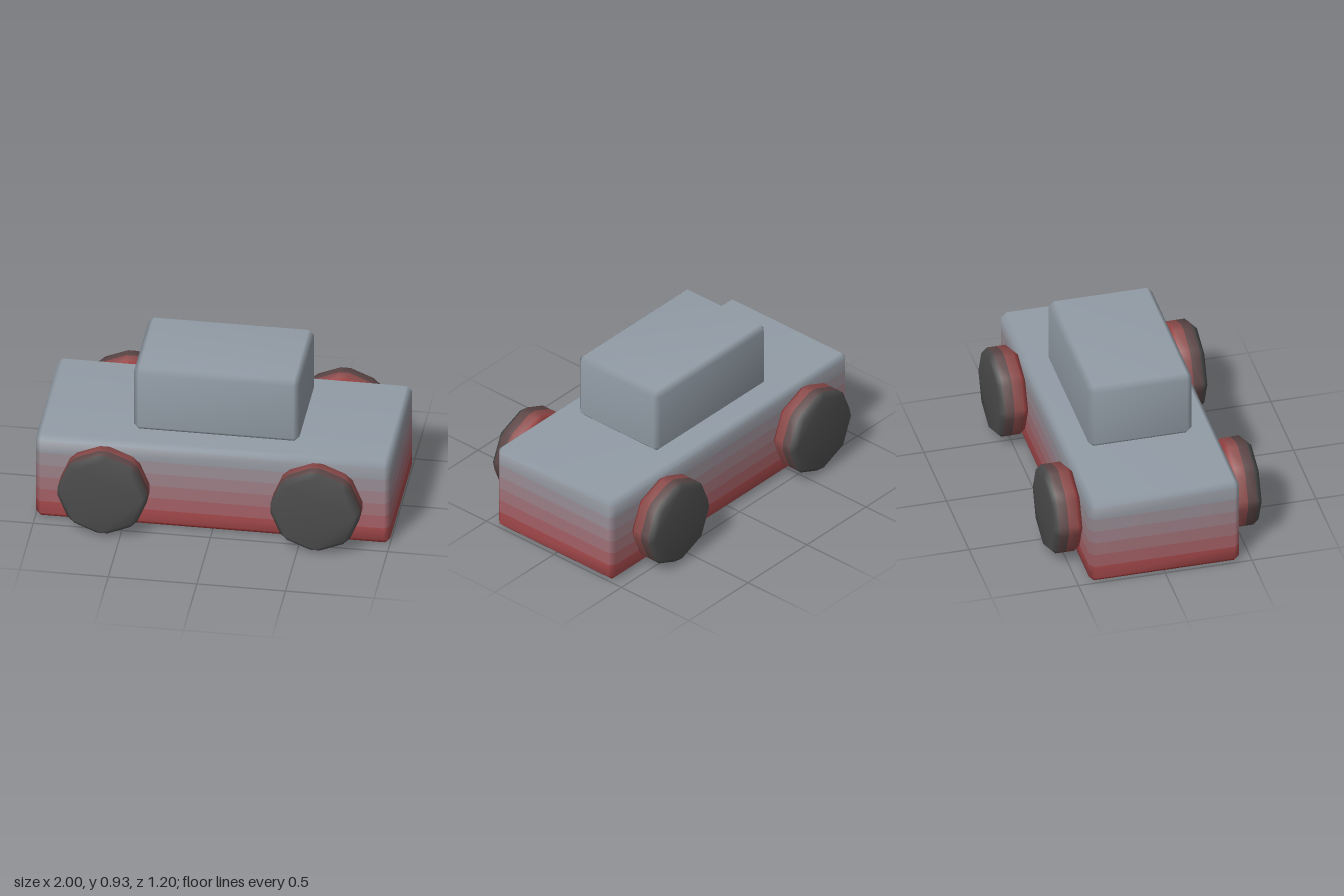
import * as THREE from 'three';
import { mergeVertices } from 'three/addons/utils/BufferGeometryUtils.js';

const BEVEL = 0.03;

// Prism standing on y = 0 over a convex outline, every edge bevelled.
// colors: [underside, side bands from low to high..., top side]
function bevelledPrism(name, outline, height, colors) {
  const n = outline.length, m = n * 2, capRing = [], sideRing = [];
  outline.forEach((p, i) => {
    const toPrev = outline[(i + n - 1) % n].clone().sub(p).normalize();
    const toNext = outline[(i + 1) % n].clone().sub(p).normalize();
    const inset = BEVEL / Math.abs(toPrev.cross(toNext));
    const cap = p.clone().addScaledVector(toPrev, inset).addScaledVector(toNext, inset);
    capRing.push(cap, cap);
    sideRing.push(p.clone().addScaledVector(toPrev, BEVEL), p.clone().addScaledVector(toNext, BEVEL));
  });

  // stacked cross-sections: cap, side levels, cap
  const bands = colors.length - 2;
  const rings = [[capRing, 0]];
  for (let k = 0; k <= bands; k++) rings.push([sideRing, BEVEL + (height - 2 * BEVEL) * k / bands]);
  rings.push([capRing, height]);
  const positions = rings.flatMap(([ring, y]) => ring.flatMap(p => [p.x, y, p.y]));

  // triangles, gathered by colour
  const index = [], tones = [];
  const tri = (color, ...abc) => { index.push(...abc); tones.push(color); };
  const colorOf = r => colors[Math.min(r, colors.length - 1)];
  const last = (rings.length - 1) * m;
  for (let i = 2; i < m - 2; i += 2) {
    tri(colors[0], 0, i, i + 2);
    tri(colors.at(-1), last, last + i + 2, last + i);
  }
  for (let r = 0; r < rings.length - 1; r++) {
    for (let i = 0; i < m; i++) {
      const j = (i + 1) % m, a = r * m + i, b = r * m + j;
      if (r > 0 || i % 2) tri(colorOf(r), a, a + m, b);
      else tri(colorOf(r), a, a + m, b + m);
      if (r > 0 && (r < rings.length - 2 || i % 2) || r === 0 && i % 2) tri(colorOf(r), b, a + m, b + m);
    }
  }

  let geometry = new THREE.BufferGeometry();
  geometry.setAttribute('position', new THREE.Float32BufferAttribute(positions, 3));
  geometry.setIndex(index);
  geometry = mergeVertices(geometry);
  geometry.computeVertexNormals();

  // one mesh per colour, sharing the smooth normals
  const group = new THREE.Group();
  group.name = name;
  const merged = geometry.index.array;
  [...new Set(colors)].forEach((color, k) => {
    const part = new THREE.BufferGeometry();
    part.setAttribute('position', geometry.attributes.position);
    part.setAttribute('normal', geometry.attributes.normal);
    part.setIndex(tones.flatMap((t, i) => t === color ? [...merged.slice(i * 3, i * 3 + 3)] : []));
    const mesh = new THREE.Mesh(part, new THREE.MeshStandardMaterial({ color }));
    mesh.name = `${name}Band${k + 1}`;
    group.add(mesh);
  });
  return group;
}

const rectangle = (hx, hz) =>
  [[1, 1], [-1, 1], [-1, -1], [1, -1]].map(([x, z]) => new THREE.Vector2(x * hx, z * hz));

const polygon = (sides, radius) => Array.from({ length: sides }, (_, i) => {
  const a = i / sides * Math.PI * 2;
  return new THREE.Vector2(Math.cos(a) * radius, Math.sin(a) * radius);
});

export function createModel() {
  const model = new THREE.Group();
  model.name = 'car';
  const grey = 0x929ca6, red = 0xa83c3c;

  // body fades from red at the bottom to grey at the top
  const fade = Array.from({ length: 6 }, (_, i) =>
    new THREE.Color(red).lerp(new THREE.Color(grey), (i + 0.5) / 6).getHex());
  model.add(bevelledPrism('body', rectangle(1, 0.433), 0.533, [red, ...fade, grey]));

  // cabin
  const cabin = bevelledPrism('cabin', rectangle(0.467, 0.298), 0.4, [grey, grey, grey]);
  cabin.position.y = 0.533;
  model.add(cabin);

  // wheels: dark outside, reddish towards the body
  for (const x of [-0.6, 0.6]) {
    for (const side of [1, -1]) {
      const name = (side > 0 ? 'front' : 'back') + (x > 0 ? 'Left' : 'Right') + 'Wheel';
      const wheel = bevelledPrism(name, polygon(8, 0.2625), 0.167, [0x9a4444, 0x8a4a4a, 0x5c4646, 0x4c4c4c]);
      wheel.position.set(x, 0.267, side * 0.433);
      wheel.rotation.x = side * Math.PI / 2;
      model.add(wheel);
    }
  }
  return model;
}
